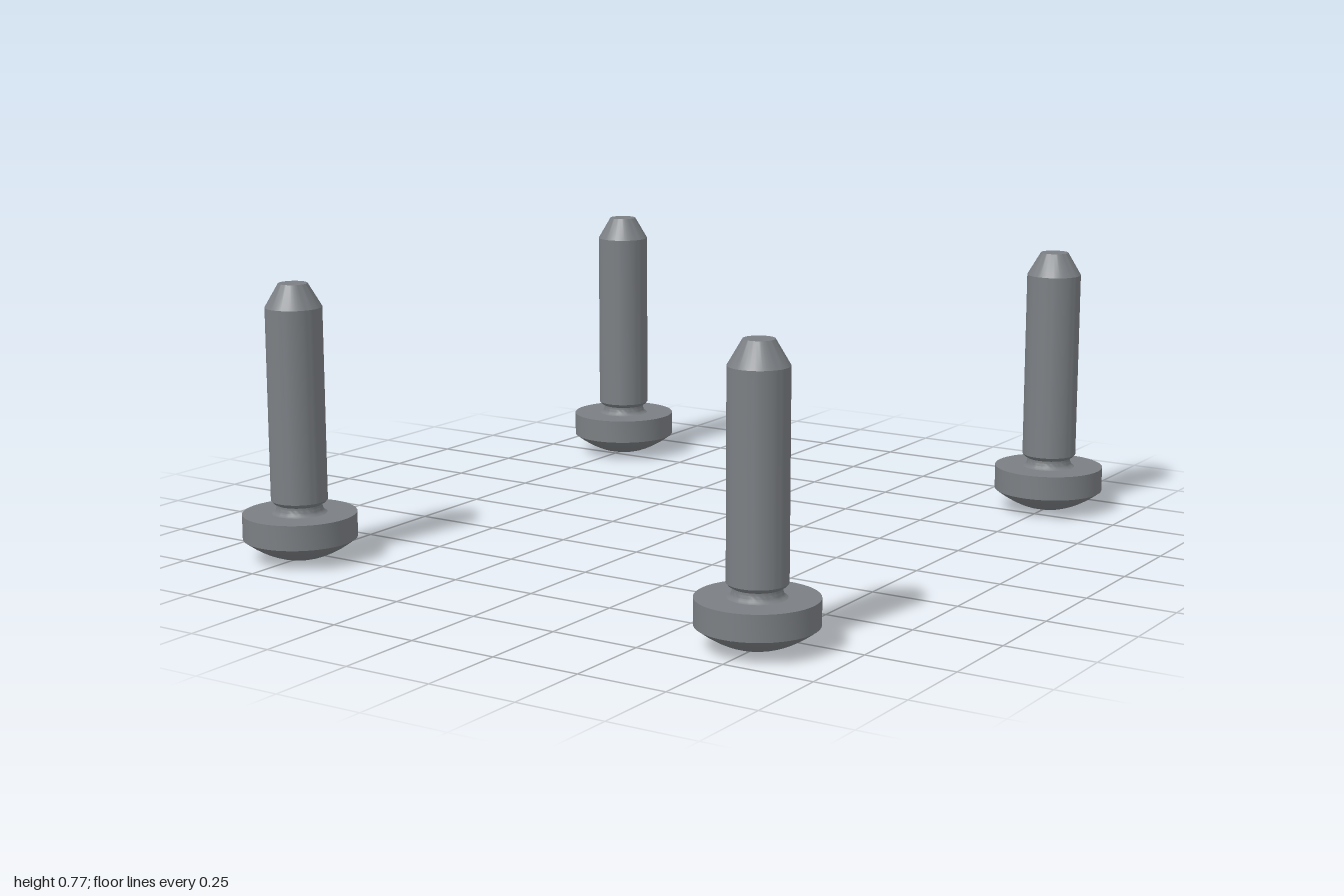
import * as THREE from 'three';
import { toCreasedNormals } from 'three/addons/utils/BufferGeometryUtils.js';

const HEAD_R = 0.158, RIM_Y = 0.06;
const ARM = 0.066, HALF_W = 0.017;            // cross recess arm length and half width
const LOWEST = RIM_Y * (HALF_W * Math.SQRT2 / HEAD_R) ** 2;
const domeY = (r) => (RIM_Y * (r / HEAD_R) ** 2 - LOWEST) * RIM_Y / (RIM_Y - LOWEST);

// Angles round the head, with samples at every corner of the cross
function crossAngles() {
  const tip = Math.atan2(HALF_W, ARM), d = Math.PI / 180;
  const half = [-45 * d, -37 * d, -29 * d, -21 * d, -tip, -7 * d];
  const quarter = [...half, 0, ...half.slice(1).reverse().map((a) => -a)];
  return [0, 1, 2, 3].flatMap((q) => quarter.map((a) => ({ a: a + q * Math.PI / 2, phi: a })));
}

// Domed underside of the head with a sunken cross, as loops from centre to rim
function domeGeometry() {
  const angles = crossAngles(), n = angles.length;
  const crossR = (phi) => Math.min(ARM / Math.cos(phi), HALF_W / Math.max(Math.abs(Math.sin(phi)), 1e-6));
  const loops = [
    () => [0, 0.05],
    (c) => [c * 0.8, 0.045],
    ...[0, 0.2, 0.4, 0.6, 0.8, 1].map((t) => (c) => {
      const r = c + (HEAD_R - c) * t;
      return [r, domeY(r)];
    }),
  ];
  const pos = [], index = [];
  loops.forEach((loop, k) => angles.forEach(({ a, phi }, i) => {
    const [r, y] = loop(crossR(phi));
    pos.push(r * Math.cos(a), y, r * Math.sin(a));
    if (k === 0) return;
    const j = (i + 1) % n, inner = (k - 1) * n, outer = k * n;
    index.push(inner + i, outer + i, outer + j);
    if (k > 1) index.push(inner + i, outer + j, inner + j);
  }));
  const g = new THREE.BufferGeometry();
  g.setAttribute('position', new THREE.Float32BufferAttribute(pos, 3));
  g.setIndex(index);
  return toCreasedNormals(g, 0.5);
}

function lathe(points) {
  const g = new THREE.LatheGeometry(points.map(([r, y]) => new THREE.Vector2(r, y)), 48);
  return toCreasedNormals(g, 0.5);
}

export function createModel() {
  const steel = new THREE.MeshStandardMaterial({ color: 0x7b7f83 });
  steel.name = 'steel grey';

  const parts = {
    headDome: domeGeometry(),
    headRim: lathe([[HEAD_R, RIM_Y], [HEAD_R, 0.13], [0.076, 0.13]]),
    // Filleted neck under the shaft
    neck: lathe([[0.076, 0.13], [0.069, 0.134], [0.065, 0.14], [0.063, 0.148], [0.063, 0.155], [0.072, 0.16]]),
    shaft: lathe([[0.072, 0.16], [0.078, 0.167], [0.078, 0.705]]),
    taperedTip: lathe([[0.078, 0.705], [0.04, 0.77], [0, 0.77]]),
  };

  const model = new THREE.Group();
  model.name = 'screwSet';
  const places = { frontLeft: [0.75, 0.84], frontRight: [-0.75, 0.8], backLeft: [0.75, -0.84], backRight: [-0.75, -0.8] };
  for (const [place, [x, z]] of Object.entries(places)) {
    const screw = new THREE.Group();
    screw.name = `${place}Screw`;
    for (const [name, geometry] of Object.entries(parts)) {
      const mesh = new THREE.Mesh(geometry, steel);
      mesh.name = name;
      screw.add(mesh);
    }
    screw.position.set(x, 0, z);
    model.add(screw);
  }
  return model;
}
